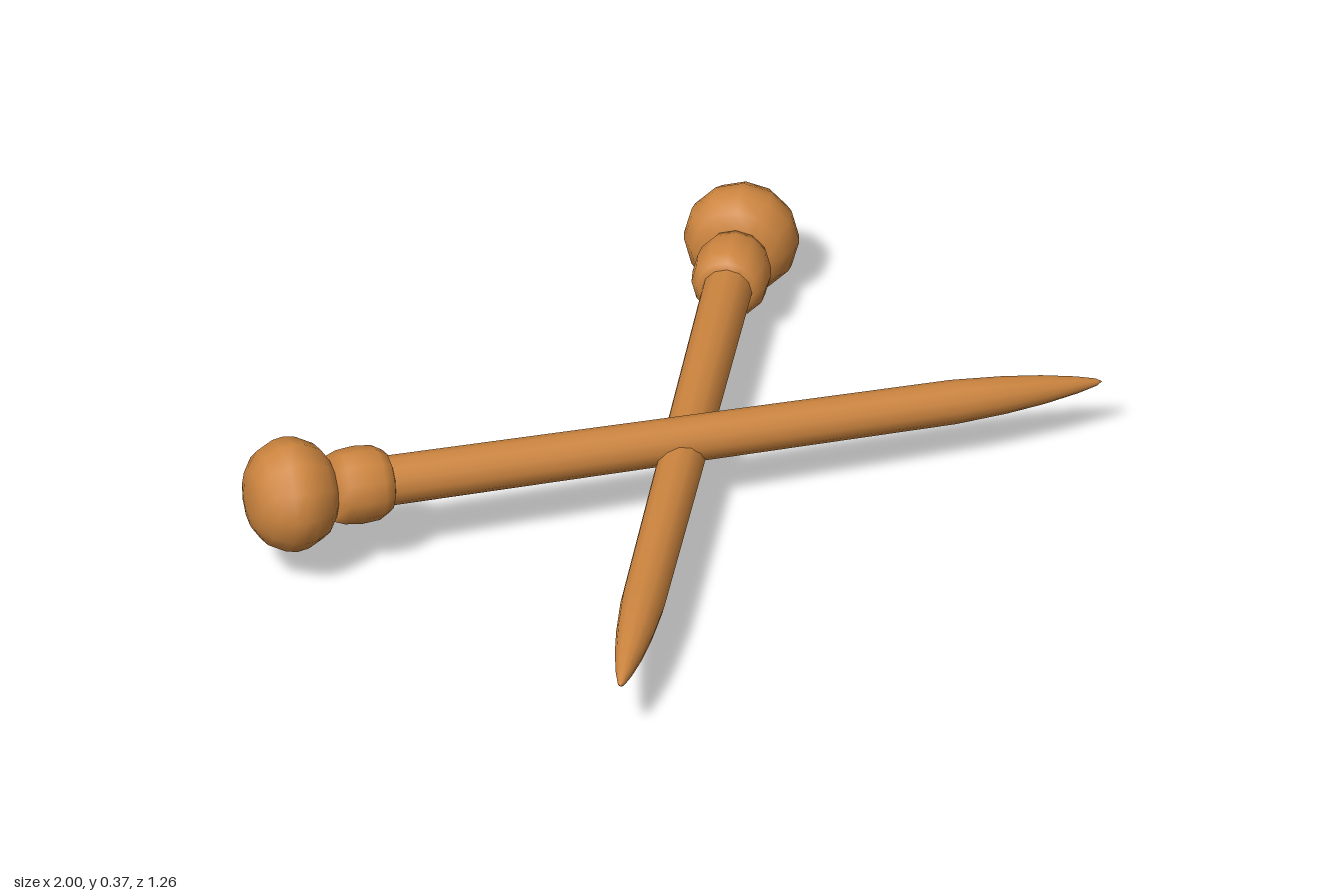
import * as THREE from 'three';

const SIDES = 12;

// Turned part whose axis runs along +z; profile is [radius, distance along the axis]
function turned(name, profile, material) {
  const points = profile.map(([r, a]) => new THREE.Vector2(r, a));
  const geometry = new THREE.LatheGeometry(points, SIDES);
  geometry.rotateX(Math.PI / 2);
  const mesh = new THREE.Mesh(geometry, material);
  mesh.name = name;
  return mesh;
}

// One needle, from the centre of its knob to its tip
function makeNeedle(name, head, tip, material) {
  const needle = new THREE.Group();
  needle.name = name;

  // Squat round knob
  needle.add(turned('knob', [
    [0, -0.112], [0.04, -0.111], [0.078, -0.102], [0.118, -0.074], [0.14, -0.03],
    [0.145, 0], [0.14, 0.03], [0.118, 0.074], [0.078, 0.102], [0, 0.108],
  ], material));

  // Bulging collar
  needle.add(turned('collar', [
    [0, 0.09], [0.082, 0.1], [0.093, 0.13], [0.098, 0.175],
    [0.094, 0.222], [0.078, 0.25], [0.055, 0.258], [0, 0.258],
  ], material));

  // Slightly tapered shaft with a rounded point
  needle.add(turned('shaft', [
    [0, 0.2], [0.063, 0.2], [0.0555, 1.735], [0.047, 1.87],
    [0.036, 1.97], [0.021, 2.06], [0.009, 2.11], [0, 2.125],
  ], material));

  needle.position.copy(head);
  needle.lookAt(tip);
  return needle;
}

export function createModel() {
  const wood = new THREE.MeshStandardMaterial({ color: 0xcd853f });
  wood.name = 'warm wood';

  const model = new THREE.Group();
  model.name = 'crossedNeedles';
  model.add(
    makeNeedle('upperNeedle', new THREE.Vector3(-0.872, 0.23, -0.495), new THREE.Vector3(0.93, 0.147, 0.625), wood),
    makeNeedle('lowerNeedle', new THREE.Vector3(0.872, 0.146, -0.495), new THREE.Vector3(-0.93, 0.147, 0.625), wood),
  );
  return model;
}
